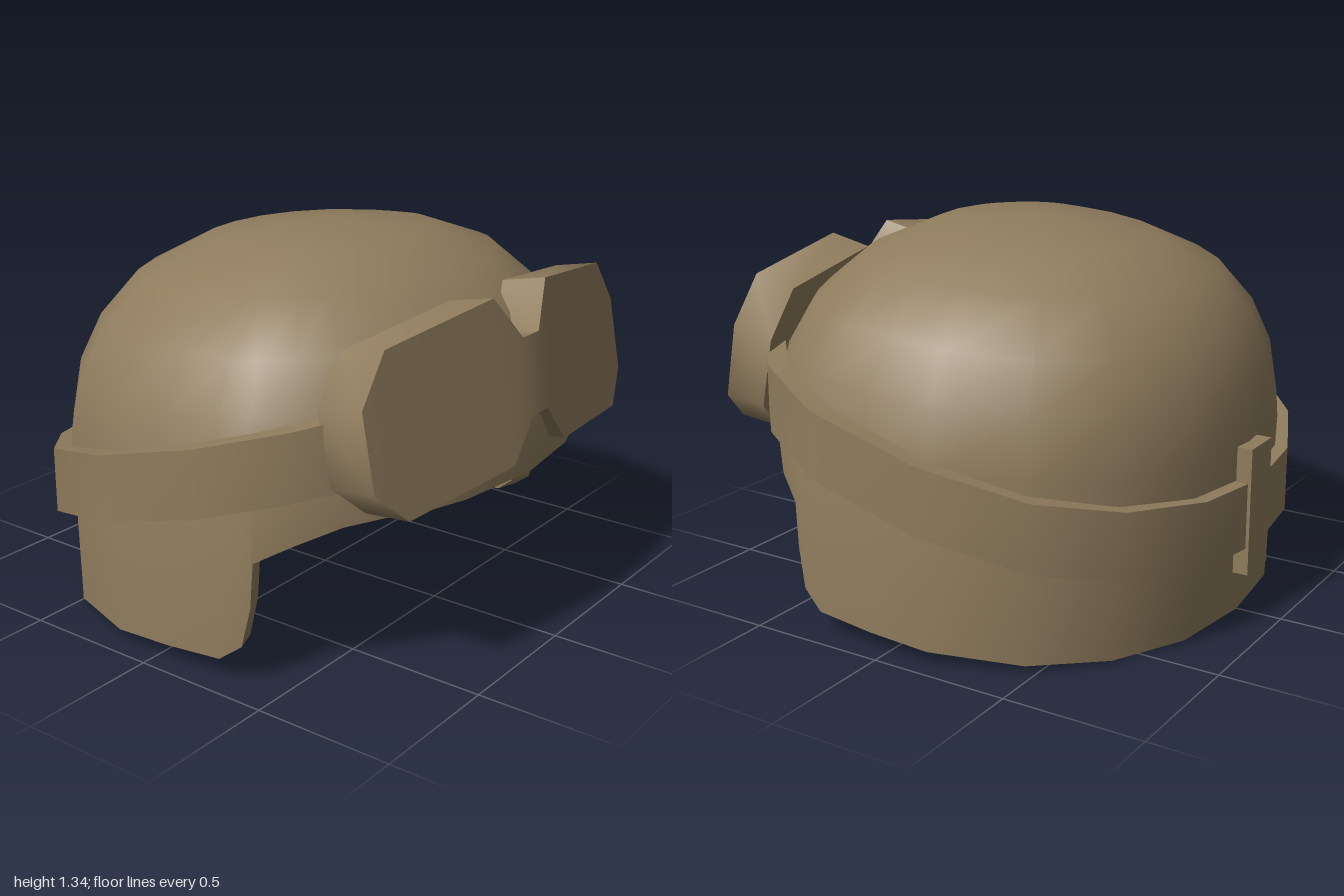
import * as THREE from 'three';
import { toCreasedNormals } from 'three/addons/utils/BufferGeometryUtils.js';

// Skins a list of columns; each column is a list of [x, y, z] points.
function skin(columns, crease) {
  const out = [];
  const v = (p) => new THREE.Vector3(...p);
  const tri = (a, b, c) => {
    const area = v(b).sub(v(a)).cross(v(c).sub(v(a))).length();
    if (area > 1e-6) out.push(...a, ...b, ...c);
  };
  for (let j = 0; j < columns.length - 1; j++) {
    for (let i = 0; i < columns[j].length - 1; i++) {
      const a = columns[j][i], b = columns[j + 1][i];
      const c = columns[j][i + 1], d = columns[j + 1][i + 1];
      tri(a, c, b);
      tri(b, c, d);
    }
  }
  const g = new THREE.BufferGeometry();
  g.setAttribute('position', new THREE.Float32BufferAttribute(out, 3));
  return toCreasedNormals(g, crease);
}

// Mirrors a half outline that starts on the centre line at the back.
const mirrored = (half) => [
  ...half.slice(1).reverse().map(([x, ...rest]) => [-x, ...rest]),
  ...half,
];

// Helmet outline: x, z and the height of the lower edge, back to front.
const SHELL = [
  [0, -0.855, 0], [0.33, -0.815, 0], [0.61, -0.69, 0.01], [0.82, -0.48, 0.025],
  [0.94, -0.17, 0.047], [0.948, 0.06, 0.064], [0.935, 0.28, 0.08], [0.915, 0.36, 0.14],
  [0.904, 0.39, 0.28], [0.9, 0.4, 0.44], [0.83, 0.51, 0.505], [0.72, 0.62, 0.56],
  [0.61, 0.7, 0.575], [0.48, 0.77, 0.572], [0.33, 0.825, 0.576], [0, 0.87, 0.58],
];
// Dome levels: height, then scale of the sides, back and front.
const LEVELS = [
  [0.68, 1, 1, 1], [0.88, 0.955, 0.965, 0.945], [1.04, 0.855, 0.89, 0.835],
  [1.19, 0.69, 0.75, 0.64], [1.295, 0.41, 0.5, 0.395],
];

function shellColumn([x, z, edge]) {
  const T = 0.91; // inner wall scale
  const dome = LEVELS.map(([y, sx, sb, sf]) => {
    const pz = z * (z < 0 ? sb : sf);
    return { p: [x * sx, y + 0.07 * pz, pz], drop: 0.08 * (1 - sx) };
  });
  const foot = z < 0 ? z * 0.972 : z; // the back tucks in towards the neck
  const outer = [[x, edge, foot], ...dome.map((d) => d.p), [0, 1.335, -0.03]];
  const inner = [
    [x * T, edge, foot * T],
    ...dome.map(({ p, drop }) => [p[0] * T, p[1] - drop, p[2] * T]),
    [0, 1.255, -0.03],
  ];
  return [...inner.reverse(), ...outer];
}

// Strap outline on its outer face: x, z, back to front.
const STRAP = [
  [0, -0.9], [0.33, -0.86], [0.64, -0.73], [0.87, -0.52], [1, -0.17],
  [1, 0.24], [0.87, 0.52], [0.7, 0.68], [0.5, 0.78],
];

function strapColumn([x, z]) {
  const k = 0.93, top = 0.75 + 0.28 * z, bottom = 0.515 + 0.28 * z;
  return [
    [x, bottom, z], [x, top, z], [x * k, top, z * k], [x * k, bottom, z * k], [x, bottom, z],
  ];
}

// Goggle stations, centre to side: x, top, bottom, sweep-back.
const GOGGLES = [
  [0.05, 1.06, 0.8, 0], [0.165, 1.21, 0.66, 0.02],
  [0.67, 1.15, 0.62, 0.1], [0.79, 0.99, 0.73, 0.125],
];

// Slab with a nose notch, leaning back with height.
function goggleColumn([x, top, bottom, sweep]) {
  const front = (y) => [x, y, 0.9 - 0.19 * (y - 0.8) - sweep];
  const back = (y, drop) => [x, y - drop, front(y)[2] - 0.165];
  return [
    back(bottom, 0.015), front(bottom), front(top), back(top, 0.035), back(bottom, 0.015),
  ];
}

function goggleColumns() {
  const mirror = GOGGLES.map(([x, ...r]) => [-x, ...r]);
  const cols = [...GOGGLES.slice().reverse(), ...mirror].map(goggleColumn);
  // Close both ends onto their middle point
  const cap = (c) => {
    const mid = [0, 1, 2].map((k) => (c[0][k] + c[1][k] + c[2][k] + c[3][k]) / 4);
    return c.map(() => mid);
  };
  return [cap(cols[0]), ...cols, cap(cols[cols.length - 1])];
}

export function createModel() {
  const model = new THREE.Group();
  model.name = 'helmet';
  const khaki = new THREE.MeshStandardMaterial({ color: 0x8f7c5d });
  khaki.name = 'khaki';

  const add = (name, geometry) => {
    const mesh = new THREE.Mesh(geometry, khaki);
    mesh.name = name;
    model.add(mesh);
    return mesh;
  };

  add('shell', skin(mirrored(SHELL).map(shellColumn), 1.0));
  add('strap', skin(mirrored(STRAP).map(strapColumn), 0.8));
  add('goggles', skin(goggleColumns(), 1.0));

  // Clip holding the strap at the back
  add('strapClip', new THREE.BoxGeometry(0.16, 0.455, 0.055)).position.set(0, 0.397, -0.8745);

  return model;
}
